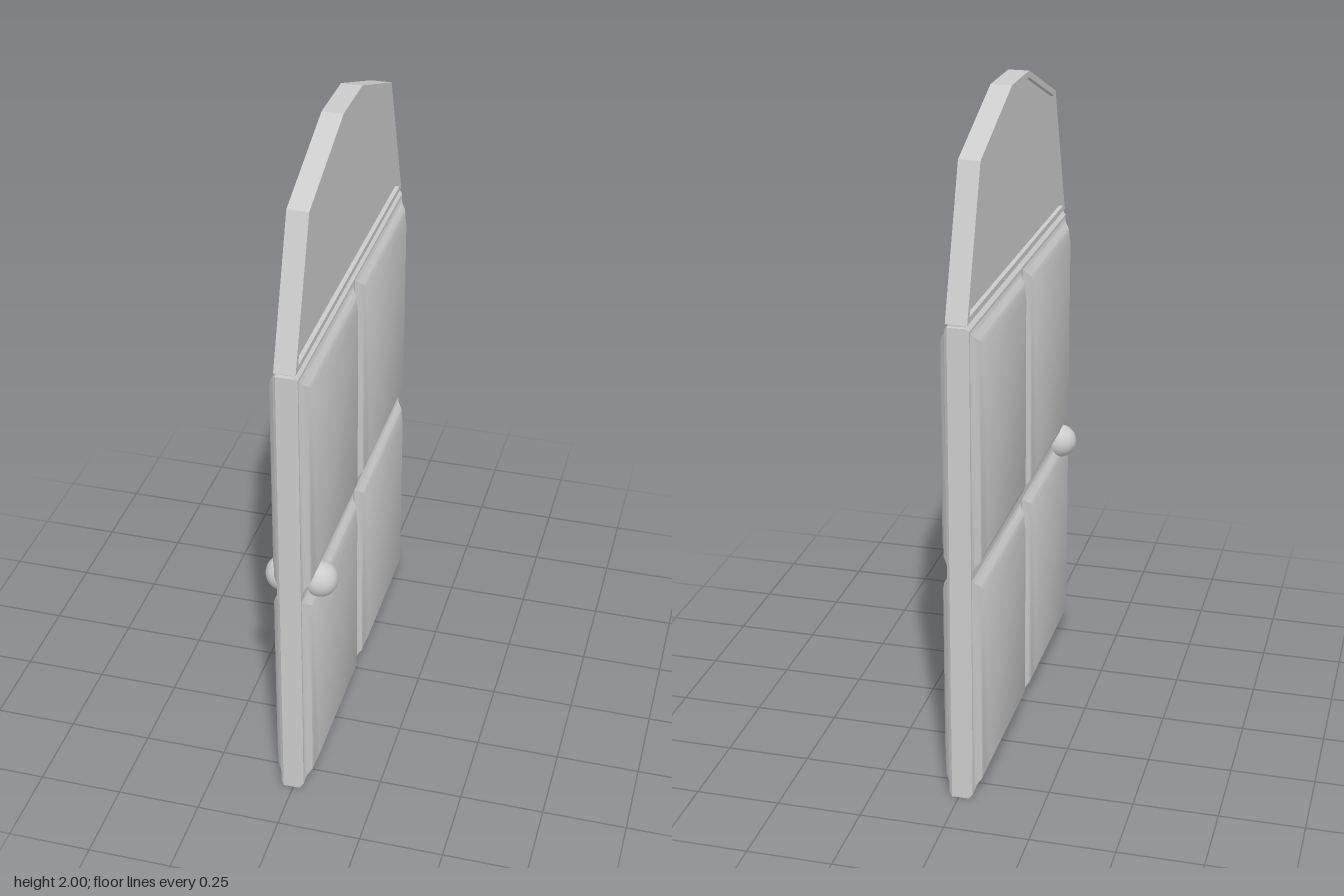
import * as THREE from 'three';
import { toCreasedNormals } from 'three/addons/utils/BufferGeometryUtils.js';

const material = new THREE.MeshStandardMaterial({ color: 0xcccccc });

function addMesh(parent, name, geometry, x = 0, y = 0, z = 0) {
  const mesh = new THREE.Mesh(geometry, material);
  mesh.name = name;
  mesh.position.set(x, y, z);
  parent.add(mesh);
  return mesh;
}

const toShape = (points) => new THREE.Shape(points.map(([u, v]) => new THREE.Vector2(u, v)));

// Flat slab of the given total thickness, centred on the door plane
function slab(shape, thickness, bevel = 0) {
  const depth = thickness - 2 * bevel;
  return new THREE.ExtrudeGeometry(shape, {
    depth, bevelEnabled: bevel > 0, bevelThickness: bevel, bevelSize: bevel, bevelOffset: -bevel, bevelSegments: 1,
  }).translate(0, 0, -depth / 2);
}

// Raised panel: nested rectangles stepping up along a soft ogee edge
function raisedPanel(u0, u1, v0, v1) {
  const profile = [[0, 0.03], [0.012, 0.035], [0.025, 0.041], [0.04, 0.054], [0.055, 0.059], [0.074, 0.067]];
  const positions = [];
  const index = [];
  for (const [inset, height] of profile) {
    positions.push(
      u0 + inset, v0 + inset, height, u1 - inset, v0 + inset, height,
      u1 - inset, v1 - inset, height, u0 + inset, v1 - inset, height);
  }
  for (let r = 0; r < profile.length - 1; r++) {
    for (let i = 0; i < 4; i++) {
      const a = r * 4 + i, b = r * 4 + (i + 1) % 4;
      index.push(a, b, b + 4, a, b + 4, a + 4);
    }
  }
  const last = (profile.length - 1) * 4;
  index.push(last, last + 1, last + 2, last, last + 2, last + 3);
  const geometry = new THREE.BufferGeometry();
  geometry.setAttribute('position', new THREE.Float32BufferAttribute(positions, 3));
  geometry.setIndex(index);
  return toCreasedNormals(geometry, 0.6);
}

export function createModel() {
  const model = new THREE.Group();
  model.name = 'archedDoor';

  // The door is drawn in a local xy plane, then turned to face sideways
  const door = new THREE.Group();
  door.name = 'door';
  door.rotation.y = -Math.PI / 2;
  door.position.x = -0.005;
  model.add(door);

  // Lower leaf
  const w = 0.59, leafTop = 1.45, midRail = 0.71;
  addMesh(door, 'doorLeaf', slab(toShape([[-w, 0], [w, 0], [w, leafTop], [-w, leafTop]]), 0.07, 0.01));

  // Four raised panels on each face
  for (const turn of [0, Math.PI]) {
    const face = new THREE.Group();
    face.name = turn ? 'rightFacePanels' : 'leftFacePanels';
    face.rotation.y = turn;
    door.add(face);
    for (const [u0, u1] of [[-w + 0.005, 0], [0, w - 0.005]]) {
      addMesh(face, 'lowerPanel', raisedPanel(u0, u1, 0.005, midRail));
      addMesh(face, 'upperPanel', raisedPanel(u0, u1, midRail, leafTop - 0.005));
    }
  }

  // Faceted arched top: thin frame around a recessed pane
  const outer = [[-0.585, 1.458], [0.585, 1.458], [0.44, 1.87], [0.1, 2], [-0.1, 2], [-0.44, 1.87]];
  const inner = [[-0.56, 1.475], [0.56, 1.475], [0.425, 1.856], [0.097, 1.981], [-0.097, 1.981], [-0.425, 1.856]];
  const frame = toShape(outer);
  frame.holes.push(toShape(inner));
  addMesh(door, 'archFrame', slab(frame, 0.062));
  addMesh(door, 'archPane', slab(toShape(inner), 0.036));
  // Narrow joint between leaf and arch
  addMesh(door, 'archJoint', new THREE.BoxGeometry(1.15, 0.02, 0.045), 0, 1.454, 0);

  // Round knob on each face
  for (const side of [-1, 1]) {
    addMesh(model, side > 0 ? 'leftKnob' : 'rightKnob', new THREE.SphereGeometry(0.053, 32, 20), side * 0.055, 0.71, 0.465);
  }
  return model;
}
